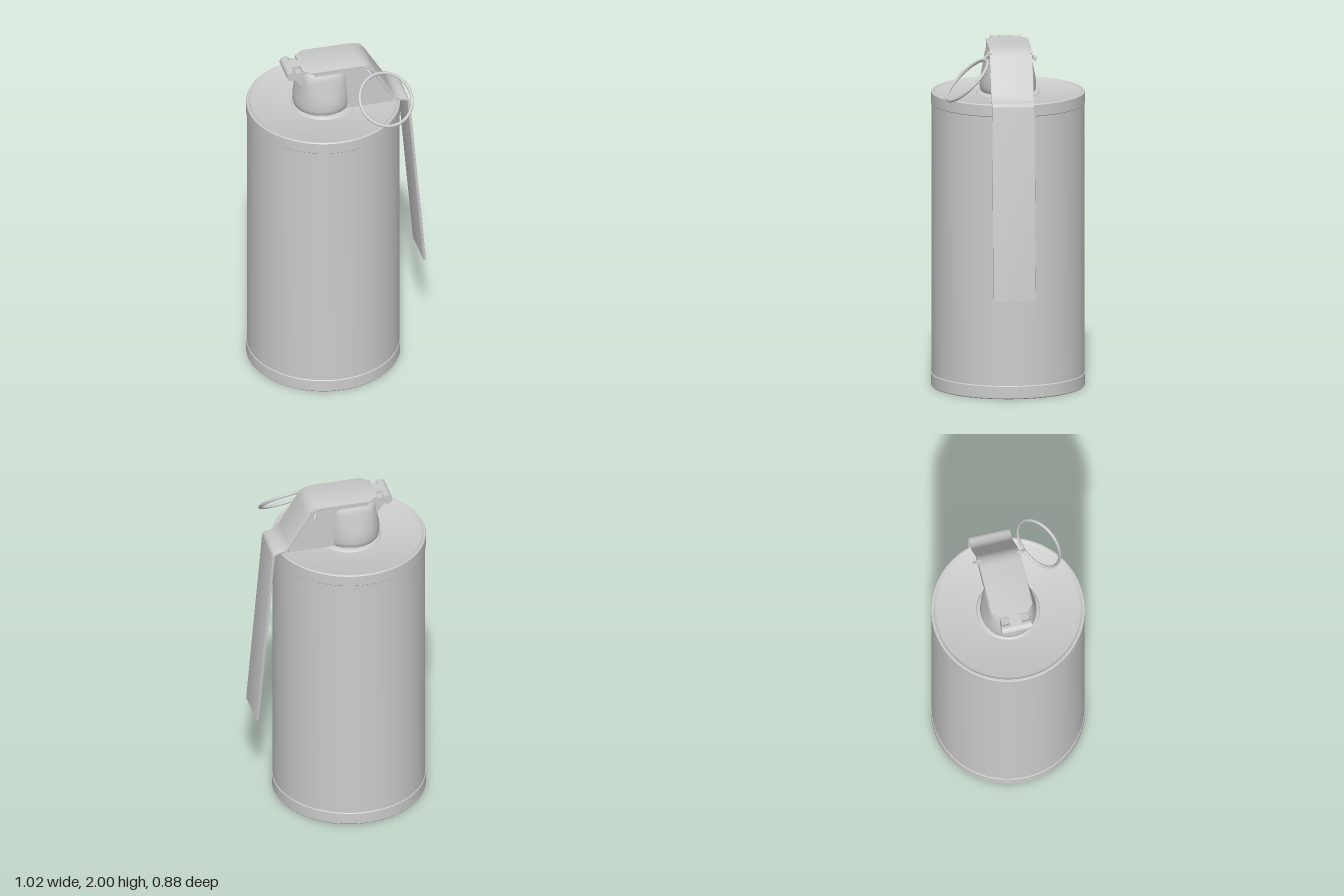
import * as THREE from 'three';
import { toCreasedNormals } from 'three/addons/utils/BufferGeometryUtils.js';

const material = new THREE.MeshStandardMaterial({ color: 0xcccccc });
const doubleMaterial = new THREE.MeshStandardMaterial({ color: 0xcccccc, side: THREE.DoubleSide });
const V2 = (x, y) => new THREE.Vector2(x, y);
const AXIS_X = -0.07; // canister axis

function add(parent, name, geometry, mat = material) {
  const mesh = new THREE.Mesh(geometry, mat);
  mesh.name = name;
  parent.add(mesh);
  return mesh;
}

function lathe(profile, segments) {
  return new THREE.LatheGeometry(profile.map(([r, y]) => V2(r, y)), segments);
}

// Side profile in x/y, extruded symmetrically across z
function slab(points, halfWidth, bevel = 0) {
  const g = new THREE.ExtrudeGeometry(new THREE.Shape(points), {
    depth: 2 * (halfWidth - bevel), bevelEnabled: bevel > 0,
    bevelSize: bevel, bevelThickness: bevel, bevelOffset: -bevel, bevelSegments: 2,
  });
  return g.translate(0, 0, -(halfWidth - bevel));
}

// Polyline with rounded corners: each entry is [x, y, corner length]
function roundedPath(corners) {
  const out = [];
  corners.forEach(([x, y, r], i) => {
    const p = V2(x, y);
    if (!r) return out.push(p);
    const a = V2(...corners[i - 1]).sub(p).setLength(r).add(p);
    const b = V2(...corners[i + 1]).sub(p).setLength(r).add(p);
    out.push(...new THREE.QuadraticBezierCurve(a, p, b).getPoints(8));
  });
  return out;
}

// Closed outline of a sheet whose outer face follows the path
function sheetOutline(path, thickness) {
  const inner = path.map((p, i) => {
    const t = path[Math.min(i + 1, path.length - 1)].clone().sub(path[Math.max(i - 1, 0)]).normalize();
    return V2(p.x + t.y * thickness, p.y - t.x * thickness);
  });
  return [...path, ...inner.reverse()];
}

function fuzeBodyGeometry() {
  const g = lathe([[0.15, 1.705], [0.162, 1.72], [0.167, 1.745], [0.164, 1.79], [0.153, 1.84],
    [0.142, 1.89], [0.135, 1.93], [0.127, 1.965], [0.11, 1.982], [0, 1.985]], 40);
  const p = g.attributes.position;
  // The round base becomes squarer towards the top
  for (let i = 0; i < p.count; i++) {
    const x = p.getX(i), z = p.getZ(i), r = Math.hypot(x, z);
    if (r < 1e-6) continue;
    const n = 2 + 1.6 * THREE.MathUtils.smoothstep(p.getY(i), 1.76, 1.96);
    const k = Math.pow(Math.abs(x / r) ** n + Math.abs(z / r) ** n, -1 / n);
    p.setX(i, x * k);
    p.setZ(i, Math.max(-0.167, Math.min(0.167, z * k * 0.97)));
  }
  return toCreasedNormals(g, 0.7).translate(-0.08, 0, 0);
}

export function createModel() {
  const root = new THREE.Group();
  root.name = 'canister with lever';

  // Canister: crimped rims and recessed end plates
  const can = lathe([[0, 0.014], [0.405, 0.014], [0.42, 0.008], [0.428, 0], [0.437, 0], [0.441, 0.005],
    [0.441, 0.073], [0.437, 0.077], [0.437, 1.643], [0.441, 1.647], [0.441, 1.71], [0.437, 1.715],
    [0.428, 1.715], [0.421, 1.708], [0.41, 1.703], [0, 1.703]], 64);
  add(root, 'canister', toCreasedNormals(can, 0.6)).position.x = AXIS_X;

  const collar = lathe([[0.184, 1.702], [0.178, 1.712], [0.168, 1.714], [0.15, 1.714]], 48);
  add(root, 'lidCollar', collar).position.x = AXIS_X;

  // Fuze: bulbous body, wedge beneath the lever, and hinge
  const fuze = new THREE.Group();
  fuze.name = 'fuze';
  root.add(fuze);
  add(fuze, 'fuzeBody', fuzeBodyGeometry());
  add(fuze, 'fuzeWedge', slab([V2(-0.1, 1.71), V2(0.315, 1.715), V2(0.315, 1.74),
    V2(0.17, 1.965), V2(0.14, 1.982), V2(-0.1, 1.982)], 0.105));
  add(fuze, 'hingeLug', slab([V2(-0.265, 1.95), V2(-0.2, 1.86), V2(-0.18, 1.975), V2(-0.25, 1.985)], 0.08));
  const hinge = new THREE.CylinderGeometry(0.029, 0.029, 0.176, 20).rotateX(Math.PI / 2);
  add(fuze, 'hingePin', hinge).position.set(-0.276, 1.968, 0);

  // Lever: one bent sheet, narrowed at the hinge end
  const lever = new THREE.Group();
  lever.name = 'lever';
  root.add(lever);
  const path = roundedPath([[-0.215, 2], [-0.2, 2], [-0.165, 2], [0.175, 2, 0.065],
    [0.335, 1.735, 0.045], [0.41, 1.73, 0.03], [0.506, 0.598]]);
  const sheet = slab(sheetOutline(path, 0.015), 0.122, 0.003);
  const sp = sheet.attributes.position;
  for (let i = 0; i < sp.count; i++) {
    const narrow = THREE.MathUtils.clamp((-0.165 - sp.getX(i)) / 0.045, 0, 1);
    sp.setZ(i, sp.getZ(i) * (1 - 0.3 * narrow));
  }
  add(lever, 'leverSheet', toCreasedNormals(sheet, 0.6));
  add(lever, 'hingeTongue', slab([V2(-0.276, 1.998), V2(-0.276, 1.985), V2(-0.2, 1.98), V2(-0.2, 1.999)], 0.035));

  // Folded lips along both edges of the lever, with bosses for the pin
  for (const side of [-1, 1]) {
    const lip = slab([V2(-0.165, 1.995), V2(-0.15, 1.968), V2(0.11, 1.968), V2(0.13, 1.95),
      V2(0.18, 1.945), V2(0.185, 1.98), V2(0.16, 1.995)], 0.006);
    add(lever, 'leverLip', lip, doubleMaterial).position.z = side * 0.115;
    const boss = new THREE.CylinderGeometry(0.022, 0.022, 0.014, 16).rotateX(Math.PI / 2);
    add(lever, 'pinBoss', boss).position.set(0.16, 1.965, side * 0.12);
  }

  // Safety pin with a splayed far end and a hooked near end
  const pinCurve = new THREE.CatmullRomCurve3([[0.172, 1.935, -0.145], [0.162, 1.962, -0.126], [0.16, 1.965, 0],
    [0.16, 1.965, 0.125], [0.172, 1.955, 0.148], [0.182, 1.93, 0.152]].map((p) => new THREE.Vector3(...p)));
  add(root, 'safetyPin', new THREE.TubeGeometry(pinCurve, 28, 0.008, 8));

  // Pull ring, hanging diagonally
  const ring = add(root, 'pullRing', new THREE.TorusGeometry(0.157, 0.0095, 10, 56));
  ring.position.set(0.235, 1.836, 0.254);
  ring.quaternion.setFromUnitVectors(new THREE.Vector3(0, 0, 1), new THREE.Vector3(0.128, 0.72, 0.69).normalize());

  return root;
}
